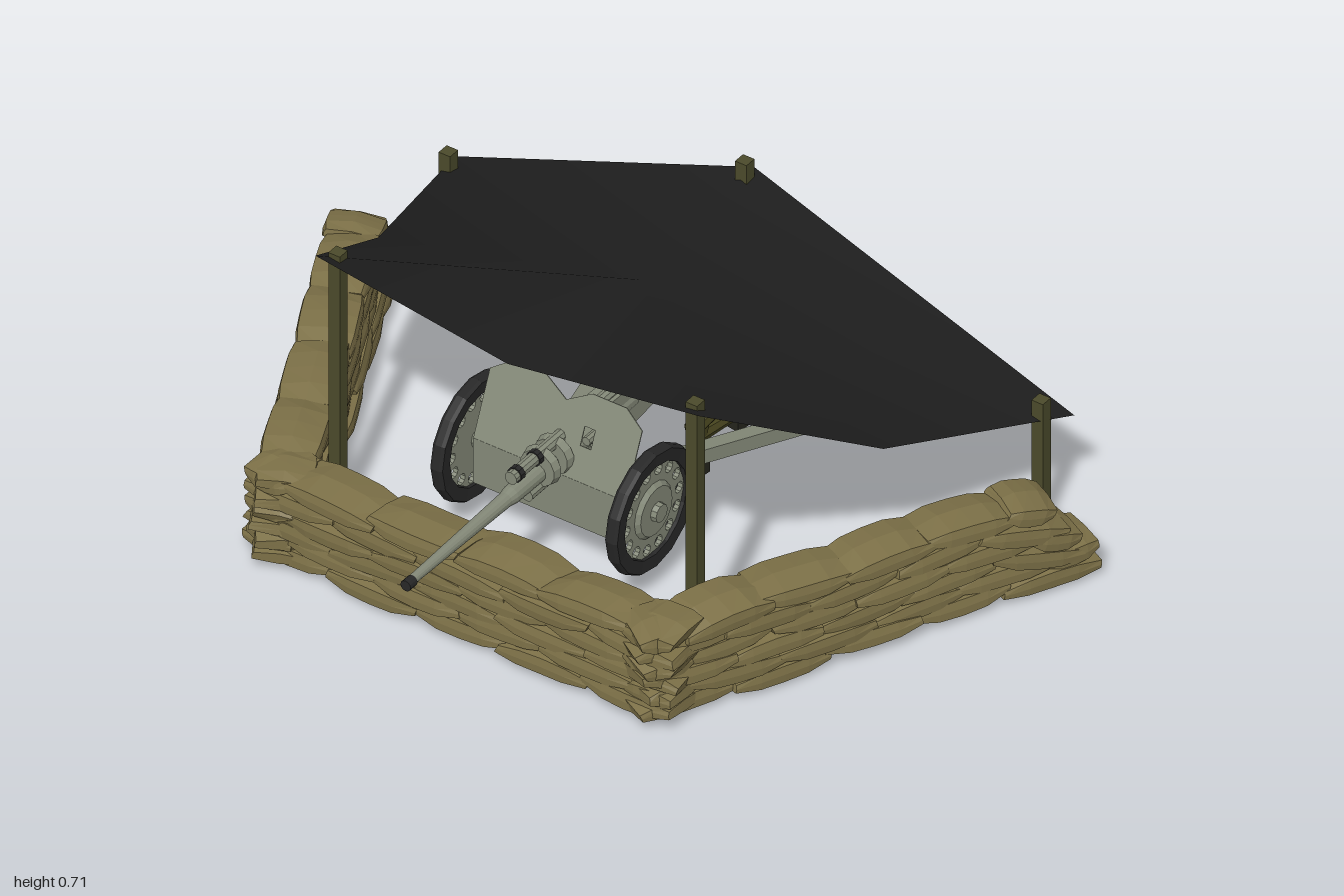
import * as THREE from 'three';

const mat = (name, color) => Object.assign(new THREE.MeshStandardMaterial({ color }), { name });

export function createModel() {
  const root = new THREE.Group();
  root.name = 'gunEmplacement';
  const sand = mat('sandbag canvas', 0x7c7047), tarpMat = mat('dark tarp', 0x1e1e1e);
  tarpMat.side = THREE.DoubleSide;
  const wood = mat('olive wood', 0x4b4a2b), steel = mat('grey green steel', 0x848978);
  const rubber = mat('tyre rubber', 0x272727), cloth = mat('olive uniform', 0x48451f);
  const helmetMat = mat('helmet olive', 0x504d29), dark = mat('dark boots', 0x24241c);

  const add = (parent, name, geo, material, x = 0, y = 0, z = 0) => {
    const m = new THREE.Mesh(geo, material);
    m.name = name;
    m.position.set(x, y, z);
    parent.add(m);
    return m;
  };
  const group = (name, parent = root) => {
    const g = new THREE.Group();
    g.name = name;
    parent.add(g);
    return g;
  };
  const flat = (g) => {
    const f = g.index ? g.toNonIndexed() : g;
    f.computeVertexNormals();
    return f;
  };
  const V = (x, y, z) => new THREE.Vector3(x, y, z);
  const points = (list) => list.map((p) => new THREE.Vector2(...p));
  // tapered rod between two points, with any number of sides
  const rod = (parent, name, a, b, ra, rb, material, sides = 8) => {
    const d = b.clone().sub(a);
    const g = flat(new THREE.CylinderGeometry(rb, ra, d.length(), sides));
    const m = add(parent, name, g, material);
    m.position.copy(a).add(b).multiplyScalar(0.5);
    m.quaternion.setFromUnitVectors(V(0, 1, 0), d.normalize());
    return m;
  };
  // rectangular beam between two points
  const beam = (parent, name, a, b, w, h, material) => {
    const m = add(parent, name, new THREE.BoxGeometry(w, h, a.distanceTo(b)), material);
    m.position.copy(a).add(b).multiplyScalar(0.5);
    m.lookAt(b);
    return m;
  };
  let seed = 7;
  const rnd = () => (seed = (seed * 16807) % 2147483647) / 2147483647 - 0.5;

  // sandbag: box pinched to its ends and long edges, then bowed and skewed
  const bagGeo = (len) => {
    const g = new THREE.BoxGeometry(len, 0.06, 0.135, 4, 2, 2);
    const p = g.attributes.position, bow = rnd() * 0.02, skew = rnd() * 0.03, lean = rnd() * 0.02;
    for (let i = 0; i < p.count; i++) {
      const x = p.getX(i), y = p.getY(i), z = p.getZ(i);
      const t = Math.abs(x) / (len / 2), s = Math.abs(z) / 0.0675;
      p.setY(i, y * (1 - 0.55 * t ** 3) * (1 - 0.35 * s) + bow * (t * t - 0.3));
      p.setX(i, x + skew * z / 0.135 + lean * y / 0.06);
      p.setZ(i, z * (1 - 0.1 * t ** 4) * (y > 0.01 ? 0.93 : 1));
    }
    return flat(g);
  };
  // wall of staggered bags; the far end steps back as it rises
  const wall = (name, a, b, stepBack) => {
    const w = group(name), len = a.distanceTo(b), dir = b.clone().sub(a).normalize();
    const rows = 6, yaw = Math.atan2(-dir.z, dir.x);
    for (let r = 0; r < rows; r++) {
      const end = len - stepBack * Math.max(0, r - 1) / 4;
      const n = r % 2 ? 6 : 5, size = end / 5, start = r ? Math.abs(rnd()) * 0.03 : 0;
      for (let i = 0; i < n; i++) {
        const s = r % 2 ? Math.max(start, (i - 0.5) * size) : Math.max(start, i * size);
        const e = Math.min(end, (r % 2 ? i + 0.5 : i + 1) * size);
        const c = a.clone().addScaledVector(dir, (s + e) / 2);
        c.add(V(-dir.z, 0, dir.x).multiplyScalar(rnd() * 0.014));
        const m = add(w, 'sandbag', bagGeo(e - s + 0.015), sand, c.x, 0.032 + r * 0.037 + rnd() * 0.009, c.z);
        m.rotation.order = 'YXZ';
        m.rotation.set(rnd() * 0.2, yaw + rnd() * 0.09, r ? rnd() * 0.13 : 0);
        if (stepBack && i === n - 1 && r > 1) {
          m.rotation.z = -0.25;
          m.position.y -= 0.014;
        }
      }
    }
  };
  wall('frontSandbagWall', V(-0.56, 0, 0.475), V(0.56, 0, 0.475), 0);
  for (const s of [-1, 1]) wall(s > 0 ? 'leftSandbagWall' : 'rightSandbagWall', V(s * 0.462, 0, 0.54), V(s * 0.937, 0, -0.48), 0.1);

  // tarp: three rows of three points
  const grid = [[0.505, 0.705, 0.345, 0.63, 0.345], [0.665, 0.4, -0.12, 0.55, -0.155], [0.815, 0.245, -0.625, 0.59, -0.585]]
    .flatMap(([x, y, z, midY, midZ]) => [-x, y, z, 0, midY, midZ, x, y, z]);
  const tarpGeo = new THREE.BufferGeometry();
  tarpGeo.setAttribute('position', new THREE.Float32BufferAttribute(grid, 3));
  tarpGeo.setIndex([0, 1, 4, 0, 4, 3, 1, 2, 4, 2, 5, 4, 3, 4, 6, 4, 7, 6, 4, 5, 8, 4, 8, 7].reverse());
  tarpGeo.computeVertexNormals();
  add(root, 'tarp', tarpGeo, tarpMat);

  // tarp poles
  for (const [x, z, y0, y1] of [[0.47, 0.31, 0.01, 0.71], [-0.47, 0.31, 0.01, 0.71], [0.78, -0.55, 0.015, 0.32], [-0.78, -0.55, 0.015, 0.32], [0, -0.55, 0.02, 0.63]])
    add(root, 'tarpPole', new THREE.BoxGeometry(0.03, y1 - y0, 0.03), wood, x, (y0 + y1) / 2, z);

  // field gun
  const gun = group('fieldGun');
  const barrel = group('barrel', gun);
  const tube = new THREE.LatheGeometry(points([[0, -0.1], [0.03, -0.1], [0.03, 0.12], [0.024, 0.13], [0.022, 0.34], [0.018, 0.36], [0.011, 0.71], [0, 0.71]]), 14);
  add(barrel, 'barrelTube', flat(tube.rotateX(Math.PI / 2)), steel, 0.005, 0.275, 0);
  rod(barrel, 'muzzle', V(0.005, 0.273, 0.71), V(0.005, 0.273, 0.736), 0.0135, 0.0135, rubber, 12);
  rod(barrel, 'recuperator', V(0.005, 0.32, -0.1), V(0.005, 0.32, 0.34), 0.016, 0.016, steel, 10);
  rod(barrel, 'recoilCylinder', V(0.005, 0.238, -0.1), V(0.005, 0.238, 0.28), 0.016, 0.016, steel, 10);
  for (const z of [0.17, 0.22]) rod(barrel, 'collar', V(0.005, 0.285, z), V(0.005, 0.285, z + 0.02), 0.05, 0.045, steel, 14);
  for (const z of [0.1, 0.24, 0.31]) rod(barrel, 'recuperatorBand', V(0.005, 0.32, z), V(0.005, 0.32, z + 0.015), 0.019, 0.019, rubber, 10);

  // breech and cradle, sloping down to the rear
  const cradle = new THREE.Shape(points([[0.06, 0.24], [0.06, 0.325], [-0.1, 0.32], [-0.18, 0.31], [-0.25, 0.26], [-0.24, 0.235], [-0.05, 0.21]]));
  add(gun, 'breech', flat(new THREE.ExtrudeGeometry(cradle, { depth: 0.06, bevelEnabled: false }).rotateY(-Math.PI / 2)), steel, 0.03, 0, 0);
  rod(gun, 'sight', V(-0.06, 0.325, -0.04), V(-0.06, 0.325, -0.12), 0.01, 0.01, rubber);

  // shield with two humps and a sight port, leaning back above a fold
  const upper = new THREE.Shape();
  upper.moveTo(-0.2, 0);
  upper.lineTo(0.2, 0).lineTo(0.2, 0.165).lineTo(0.15, 0.2).lineTo(0.06, 0.2).lineTo(0, 0.165);
  upper.lineTo(-0.06, 0.2).lineTo(-0.15, 0.2).lineTo(-0.2, 0.165).closePath();
  upper.holes.push(new THREE.Path(points([[0.06, 0.08], [0.06, 0.125], [0.088, 0.125], [0.088, 0.08]])));
  const shieldGeo = flat(new THREE.ExtrudeGeometry(upper, { depth: 0.003, bevelEnabled: false }));
  add(gun, 'shieldUpper', shieldGeo, steel, 0, 0.245, 0.185).rotation.x = -0.4;
  add(gun, 'shieldLower', new THREE.BoxGeometry(0.4, 0.12, 0.003), steel, 0, 0.188, 0.186);
  rod(gun, 'sightTube', V(0.078, 0.34, 0.12), V(0.078, 0.34, 0.16), 0.011, 0.011, steel);

  // wheels: tyre, pierced disc and hub
  const tyre = flat(new THREE.LatheGeometry(points([[0.117, -0.014], [0.148, -0.016], [0.153, -0.008], [0.153, 0.008], [0.148, 0.016], [0.117, 0.014], [0.117, -0.014]]), 16).rotateZ(Math.PI / 2));
  const disc = new THREE.Shape().absarc(0, 0, 0.119, 0, Math.PI * 2);
  for (let i = 0; i < 14; i++) {
    const a = i / 14 * Math.PI * 2;
    disc.holes.push(new THREE.Path().absarc(Math.cos(a) * 0.099, Math.sin(a) * 0.099, 0.014, 0, Math.PI * 2, true));
  }
  const discGeo = flat(new THREE.ExtrudeGeometry(disc, { depth: 0.012, bevelEnabled: false, curveSegments: 5 }).translate(0, 0, -0.006).rotateY(Math.PI / 2));
  for (const s of [-1, 1]) {
    const w = group(s > 0 ? 'leftWheel' : 'rightWheel', gun);
    w.position.set(s * 0.23, 0.209, 0.135);
    add(w, 'tyre', tyre, rubber);
    add(w, 'wheelDisc', discGeo, steel);
    rod(w, 'wheelDome', V(0, 0, 0), V(s * 0.016, 0, 0), 0.075, 0.06, steel, 16);
    rod(w, 'hub', V(-s * 0.03, 0, 0), V(s * 0.03, 0, 0), 0.028, 0.022, steel, 10);

    // split trail with spade
    beam(gun, 'trail', V(s * 0.08, 0.19, 0.08), V(s * 0.31, 0.068, -0.63), 0.036, 0.036, steel);
    beam(gun, 'spadeNeck', V(s * 0.3, 0.068, -0.6), V(s * 0.335, 0.056, -0.665), 0.036, 0.02, steel);
    beam(gun, 'spade', V(s * 0.33, 0.056, -0.645), V(s * 0.37, 0.053, -0.724), 0.065, 0.008, steel);
  }
  rod(gun, 'axle', V(-0.22, 0.208, 0.135), V(0.22, 0.208, 0.135), 0.018, 0.018, steel);
  add(gun, 'carriage', new THREE.BoxGeometry(0.2, 0.06, 0.12), steel, 0, 0.2, 0.09);

  // crew kneeling on one knee
  const soldier = (name, x, z, turn) => {
    const g = group(name);
    g.position.set(x, 0, z);
    g.rotation.y = turn;
    for (const s of [-1, 1]) {
      rod(g, 'upperArm', V(s * 0.05, 0.385, 0), V(s * 0.068, 0.305, 0.005), 0.018, 0.015, cloth);
      rod(g, 'forearm', V(s * 0.068, 0.31, 0.005), V(s * 0.045, 0.27, 0.06), 0.015, 0.011, cloth);
    }
    rod(g, 'kneelingThigh', V(-0.024, 0.24, 0), V(-0.03, 0.12, 0.01), 0.028, 0.022, cloth);
    rod(g, 'kneelingShin', V(-0.03, 0.118, 0.02), V(-0.032, 0.11, -0.11), 0.022, 0.016, cloth);
    add(g, 'kneelingBoot', new THREE.BoxGeometry(0.03, 0.065, 0.035), dark, -0.032, 0.1, -0.12);
    rod(g, 'frontThigh', V(0.024, 0.235, 0), V(0.04, 0.215, 0.1), 0.028, 0.021, cloth);
    rod(g, 'frontShin', V(0.04, 0.225, 0.095), V(0.038, 0.11, 0.075), 0.021, 0.015, cloth);
    add(g, 'frontBoot', new THREE.BoxGeometry(0.03, 0.03, 0.065), dark, 0.038, 0.1, 0.09);
    add(g, 'torso', flat(new THREE.CylinderGeometry(0.052, 0.044, 0.18, 8).scale(1, 1, 0.75)), cloth, 0, 0.312, 0);
    add(g, 'belt', flat(new THREE.CylinderGeometry(0.047, 0.047, 0.014, 8).scale(1, 1, 0.78)), dark, 0, 0.25, 0);
    rod(g, 'neck', V(0, 0.39, 0), V(0, 0.43, 0.003), 0.018, 0.016, cloth);
    add(g, 'head', flat(new THREE.SphereGeometry(0.026, 8, 6)), cloth, 0, 0.433, 0.005);
    add(g, 'helmet', flat(new THREE.SphereGeometry(0.035, 10, 4, 0, Math.PI * 2, 0, Math.PI / 2)), helmetMat, 0, 0.449, 0.003);
    rod(g, 'helmetBrim', V(0, 0.437, 0.003), V(0, 0.449, 0.003), 0.036, 0.035, helmetMat, 10);
  };
  soldier('rightGunner', -0.1, -0.25, 0.15);
  soldier('leftGunner', 0.12, -0.25, -0.15);

  return root;
}
